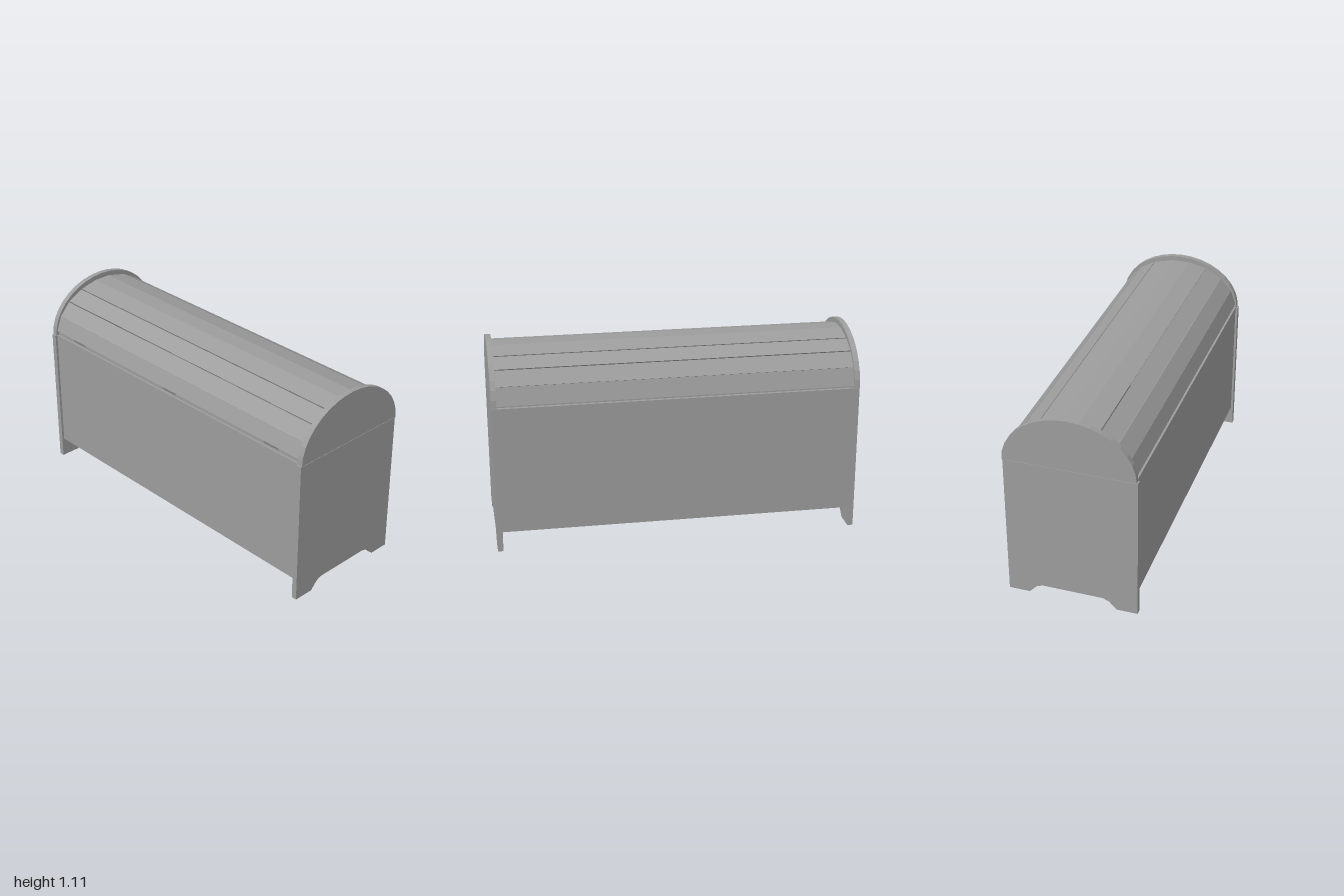
import * as THREE from 'three';

const material = new THREE.MeshStandardMaterial({ color: 0x9d9d9d, flatShading: true, side: THREE.DoubleSide });
const LID_Y = 0.82, LID_Z = -0.003, INNER = 0.97, FLOOR_Y = 0.112;

function add(group, name, geometry, x = 0, y = 0, z = 0) {
  const mesh = new THREE.Mesh(geometry, material);
  mesh.name = name;
  mesh.position.set(x, y, z);
  group.add(mesh);
  return mesh;
}

// Extrudes a [z, y] outline along x from x0 to x1
function extrudeX(points, x0, x1) {
  const shape = new THREE.Shape(points.map(([z, y]) => new THREE.Vector2(-z, y)));
  const geometry = new THREE.ExtrudeGeometry(shape, { depth: x1 - x0, bevelEnabled: false });
  return geometry.rotateY(Math.PI / 2).translate(x0, 0, 0);
}

// Point on the lid's elliptical arch, angle in degrees up from the front
function arch(a, b, degrees) {
  const t = THREE.MathUtils.degToRad(degrees);
  return [LID_Z + a * Math.cos(t), LID_Y + b * Math.sin(t)];
}

export function createModel() {
  const chest = new THREE.Group();
  chest.name = 'chest';
  const body = new THREE.Group();
  body.name = 'body';
  const lid = new THREE.Group();
  lid.name = 'lid';
  chest.add(body, lid);

  // End panels with cut-out feet, a hairline joint below the lid
  const endTop = LID_Y - 0.002;
  const endOutline = [
    [0.361, 0], [0.361, endTop], [-0.355, endTop], [-0.355, 0], [-0.24, 0],
    [-0.2, 0.043], [-0.165, 0.057], [0.17, 0.057], [0.205, 0.043], [0.245, 0],
  ];
  // Half-round lid ends
  const lidOutline = [];
  for (let i = 0; i <= 18; i++) lidOutline.push(arch(0.357, 0.288, i * 10));

  for (const [side, x0, x1] of [['left', INNER, 1], ['right', -1, -INNER]]) {
    add(body, side + 'EndPanel', extrudeX(endOutline, x0, x1));
    add(lid, side + 'LidEnd', extrudeX(lidOutline, x0, x1));
  }

  // Front, back and floor boards
  const wall = new THREE.BoxGeometry(INNER * 2, LID_Y - FLOOR_Y, 0.03);
  add(body, 'frontPanel', wall, 0, (LID_Y + FLOOR_Y) / 2, 0.333);
  add(body, 'backPanel', wall, 0, (LID_Y + FLOOR_Y) / 2, -0.338);
  add(body, 'floor', new THREE.BoxGeometry(INNER * 2, 0.03, 0.642), 0, FLOOR_Y + 0.015, -0.0025);

  // Curved slats with narrow gaps; the crown slat has three facets
  const slats = [
    [5.7, 24.9], [25.1, 43.9], [44.9, 62.9], [63.9, 82, 98, 117.4],
    [118.4, 135.1], [136.1, 154.9], [155.1, 177],
  ];
  slats.forEach((angles, i) => {
    const outer = angles.map((d) => arch(0.35, 0.261, d));
    const inner = angles.map((d) => arch(0.328, 0.24, d)).reverse();
    add(lid, 'slat' + (i + 1), extrudeX([...outer, ...inner], -INNER, INNER));
  });

  // Set-back rails below the lowest slats
  for (const [name, z] of [['frontRail', 0.328], ['backRail', -0.325]]) {
    add(lid, name, new THREE.BoxGeometry(INNER * 2, 0.026, 0.016), 0, LID_Y + 0.013, z);
  }

  // Small wedge stops under the front edge of the lid
  const stopOutline = [[0.345, 0.846], [0.337, 0.829], [0.325, 0.829], [0.325, 0.846]];
  for (const x of [-0.77, 0, 0.77]) {
    add(lid, 'lidStop', extrudeX(stopOutline, x - 0.05, x + 0.05));
  }
  return chest;
}
